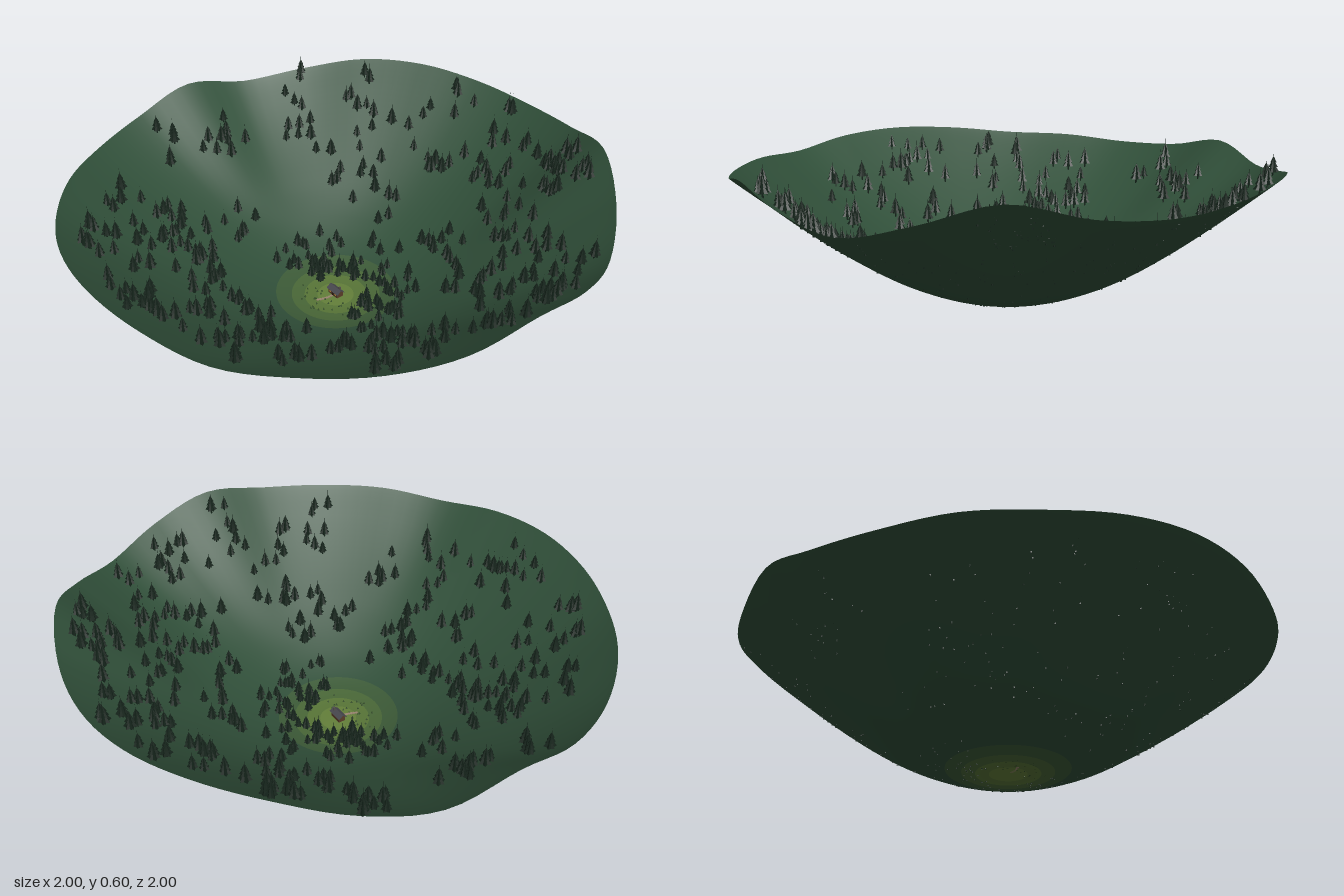
import * as THREE from 'three';
import { mergeGeometries } from 'three/addons/utils/BufferGeometryUtils.js';

// Valley cross-section (height every 0.1 of radius) and rim height every 15 degrees from +x towards +z
const PROFILE = [0.003, 0.002, 0.014, 0.045, 0.088, 0.14, 0.2, 0.265, 0.335, 0.41, 0.49, 0.58];
const RIM = [0.535, 0.495, 0.48, 0.475, 0.46, 0.49, 0.5, 0.485, 0.46, 0.455, 0.44, 0.455,
  0.505, 0.45, 0.475, 0.517, 0.525, 0.51, 0.5, 0.52, 0.572, 0.5, 0.44, 0.485];

// Centres of the tree clumps, x and z
const CLUMPS = [
  -.24, -.87, -.01, -.89, .06, -.79, .17, -.8, .37, -.83, .32, -.77, .5, -.74, .38, -.65,
  -.4, -.72, -.62, -.62, -.52, -.53, -.41, -.52, -.2, -.65, -.05, -.68, .1, -.65, .27, -.58,
  .4, -.48, .53, -.48, .62, -.45, .78, -.43, .81, -.33, .6, -.25, .8, -.2, .5, -.33,
  -.8, -.42, -.68, -.32, -.5, -.33, -.33, -.38, -.15, -.42, .05, -.43, .2, -.38, .36, -.3,
  .75, .03, .87, .02, .6, .07, .45, .12, .55, .2, .76, .18, .77, .4, .65, .34, .4, .3,
  -.8, .04, -.78, -.03, -.83, .23, -.5, .12, -.45, .22, -.57, .35, -.48, .42, -.3, .32,
  -.14, .38, .03, .38, .17, .34, -.6, .54, -.45, .55, -.33, .45, -.2, .5, 0, .58,
  .16, .46, .26, .56, .42, .52, -.45, .68, -.3, .7, -.34, .81, -.1, .8, .06, .76, .2, .72,
  .33, .72, 0, .88];

let seed = 7;
const rand = () => (seed = (seed * 16807) % 2147483647) / 2147483647;
const between = (a, b) => a + (b - a) * rand();

function spline(values, t, closed) {
  const i = Math.floor(t), f = t - i, n = values.length;
  const at = k => values[closed ? (k + n) % n : Math.min(Math.max(k, 0), n - 1)];
  const [a, b, c, d] = [at(i - 1), at(i), at(i + 1), at(i + 2)];
  return b + 0.5 * f * (c - a + f * (2 * a - 5 * b + 4 * c - d + f * (3 * (b - c) + d - a)));
}

function groundHeight(x, z) {
  const r = Math.hypot(x, z);
  const turn = (Math.atan2(z, x) / (2 * Math.PI) + 1) % 1;
  const ripple = spline(RIM, turn * 24, true) - 0.49;
  return Math.max(0, spline(PROFILE, r * 10, false) + ripple * THREE.MathUtils.smoothstep(r, 0.4, 1.05) * 1.02);
}

// One ring-shaped band of the valley floor, with normals taken from the slope so bands join smoothly
function groundBand(r0, r1, rings) {
  const sides = 120, pos = [], nor = [], idx = [], e = 0.01, n = new THREE.Vector3();
  for (let i = 0; i <= rings; i++) {
    for (let j = 0; j <= sides; j++) {
      const r = r0 + (r1 - r0) * i / rings, a = (j / sides) * 2 * Math.PI;
      const x = r * Math.cos(a), z = r * Math.sin(a);
      pos.push(x, groundHeight(x, z), z);
      n.set(groundHeight(x - e, z) - groundHeight(x + e, z), 2 * e,
        groundHeight(x, z - e) - groundHeight(x, z + e)).normalize();
      nor.push(n.x, n.y, n.z);
      if (i < rings && j < sides) {
        const p = i * (sides + 1) + j, q = p + sides + 1;
        idx.push(p, p + 1, q, p + 1, q + 1, q);
      }
    }
  }
  const g = new THREE.BufferGeometry();
  g.setAttribute('position', new THREE.Float32BufferAttribute(pos, 3));
  g.setAttribute('normal', new THREE.Float32BufferAttribute(nor, 3));
  g.setIndex(idx);
  return g;
}

// Skirt of branches: a cone whose hem is a six-pointed star
function branchTier(radius, height, y) {
  const g = new THREE.ConeGeometry(radius, height, 12, 1, true);
  const p = g.attributes.position;
  for (let i = 0; i < p.count; i++) {
    const s = Math.cos(6 * Math.atan2(p.getZ(i), p.getX(i))) > 0 ? 1 : 0.62;
    p.setX(i, p.getX(i) * s);
    p.setZ(i, p.getZ(i) * s);
  }
  return g.translate(0, y + height / 2, 0);
}

// Fir tree of unit height
function firTree() {
  return mergeGeometries([
    new THREE.CylinderGeometry(0.025, 0.04, 0.3, 5, 1, true).translate(0, 0.12, 0),
    branchTier(0.25, 0.38, 0.16),
    branchTier(0.19, 0.33, 0.36),
    branchTier(0.13, 0.28, 0.54),
    new THREE.ConeGeometry(0.012, 0.3, 4, 1, true).translate(0, 0.9, 0),
  ]);
}

export function createModel() {
  const model = new THREE.Group();
  const add = (parent, name, geometry, color, x = 0, y = 0, z = 0, options = {}) => {
    const mesh = new THREE.Mesh(geometry, new THREE.MeshStandardMaterial({ color, ...options }));
    mesh.name = name;
    mesh.position.set(x, y, z);
    parent.add(mesh);
    return mesh;
  };
  const open = { side: THREE.DoubleSide };
  const faceted = { side: THREE.DoubleSide, flatShading: true };

  // Valley floor, brightening towards the clearing
  const bands = [[0, 0.07, 4, 0x64803a], [0.07, 0.12, 3, 0x587537], [0.12, 0.17, 3, 0x496737],
    [0.17, 0.23, 3, 0x3c5a37], [0.23, 1, 36, 0x304f39]];
  bands.forEach(([r0, r1, rings, color], i) =>
    add(model, i < 4 ? 'clearing' + (i + 1) : 'valley', groundBand(r0, r1, rings), color, 0, 0, 0, open));

  // Forest: scattered clumps plus a dense arc behind the cabin
  const trees = [], fir = firTree();
  const plant = (x, z, height) => trees.push(fir.clone()
    .scale(height, height, height).rotateY(rand() * 6.28)
    .translate(x, groundHeight(x, z), z));
  for (let i = 0; i < CLUMPS.length; i += 2) {
    const count = 4 + Math.floor(rand() * 3);
    for (let k = 0; k < count; k++) {
      const a = rand() * 6.28, r = 0.085 * Math.sqrt(rand());
      plant(CLUMPS[i] + r * Math.cos(a), CLUMPS[i + 1] + r * Math.sin(a), between(0.07, 0.1));
    }
  }
  for (let k = 0; k < 85; k++) {
    const a = between(-3.55, 0.4), r = between(0.09, 0.33);
    plant(r * Math.cos(a), r * Math.sin(a), between(0.06, 0.085));
  }
  add(model, 'firTrees', mergeGeometries(trees), 0x14231a, 0, 0, 0, faceted);

  // Cabin in the clearing
  const cabin = new THREE.Group();
  cabin.name = 'cabin';
  cabin.position.y = 0.003;
  model.add(cabin);
  const wall = new THREE.Shape([[-0.014, 0], [0.014, 0], [0.014, 0.02], [0, 0.031], [-0.014, 0.02]]
    .map(p => new THREE.Vector2(...p)));
  const walls = new THREE.ExtrudeGeometry(wall, { depth: 0.054, bevelEnabled: false });
  add(cabin, 'walls', walls.translate(0, 0, -0.027).rotateY(Math.PI / 2), 0x5a3d28);
  for (const s of [-1, 1]) {
    const slope = add(cabin, 'roofSlope', new THREE.BoxGeometry(0.066, 0.002, 0.023), 0x4a4a50, 0, 0.0255, s * 0.009);
    slope.rotation.x = s * 0.666;
    add(cabin, 'window', new THREE.BoxGeometry(0.009, 0.008, 0.001), 0xffb347, s * 0.016, 0.012, 0.0143);
  }
  add(cabin, 'door', new THREE.BoxGeometry(0.009, 0.015, 0.001), 0x2e1d12, 0, 0.0075, 0.0143);
  add(cabin, 'chimney', new THREE.BoxGeometry(0.006, 0.018, 0.006), 0x55504c, 0.018, 0.032, -0.006);

  // Stepping stones winding from the door
  for (let i = 0; i < 7; i++) {
    const t = i / 6, x = -0.014 * t * t, z = 0.021 + 0.055 * t;
    add(model, 'pathStone', new THREE.CylinderGeometry(0.006, 0.006, 0.002, 7), 0x9a8570,
      x, groundHeight(x, z) + 0.001, z, { flatShading: true });
  }

  // Small tufts in the clearing
  for (let i = 0; i < 26; i++) {
    const a = between(0.2, 2.95), r = between(0.05, 0.14);
    const x = r * Math.cos(a), z = r * Math.sin(a);
    add(model, 'tuft', new THREE.ConeGeometry(0.004, 0.009, 5), 0x35502a, x, groundHeight(x, z) + 0.0045, z, faceted);
  }
  return model;
}
